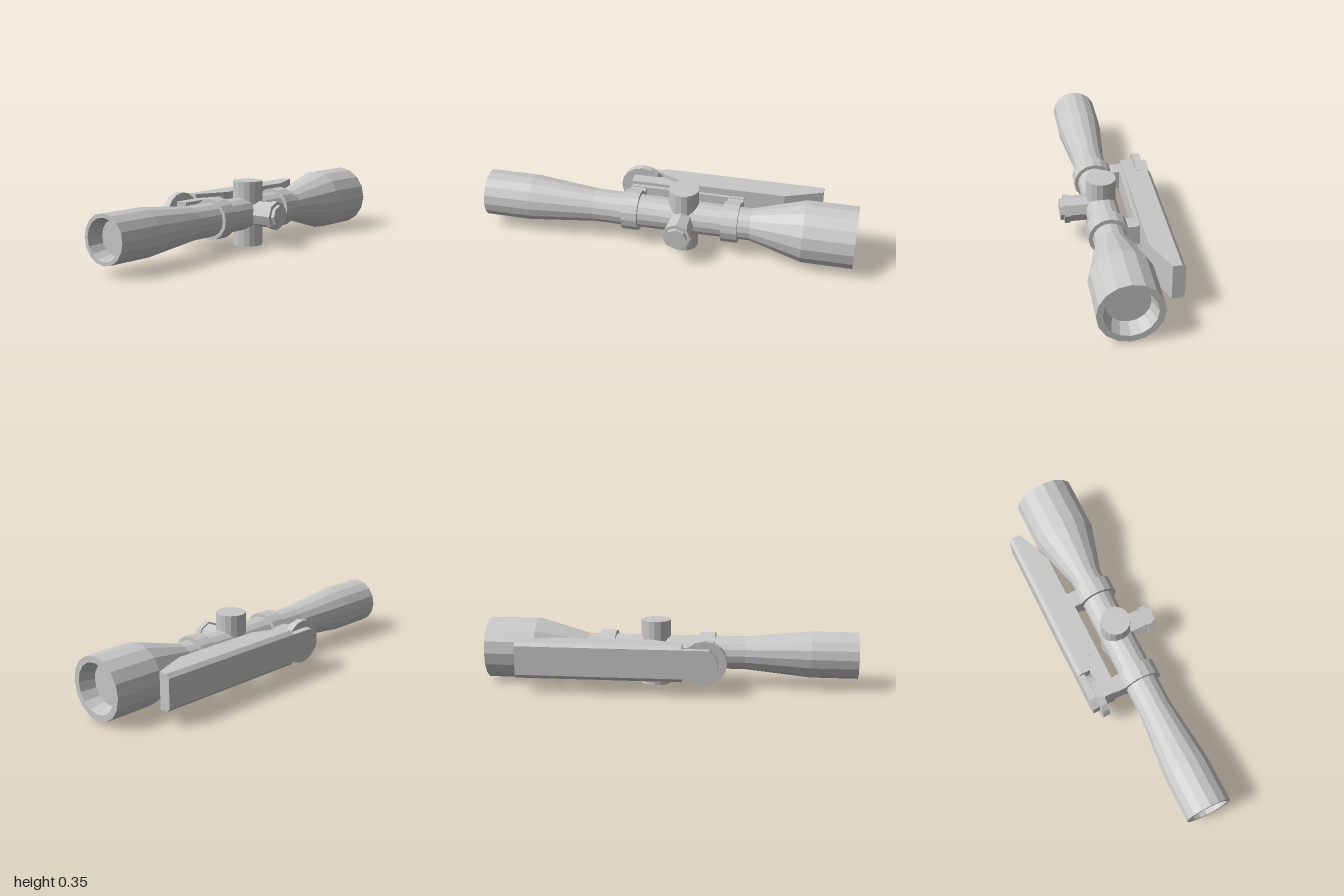
import * as THREE from 'three';
import { ConvexGeometry } from 'three/addons/geometries/ConvexGeometry.js';

const AXIS_Y = 0.175, AXIS_Z = 0.04;

export function createModel() {
  const model = new THREE.Group();
  const metal = new THREE.MeshStandardMaterial({ color: 0xc8c8c8, flatShading: true });
  metal.name = 'light grey metal';

  function add(name, geometry, x = 0, y = 0, z = 0) {
    const mesh = new THREE.Mesh(geometry, metal);
    mesh.name = name;
    mesh.position.set(x, y, z);
    model.add(mesh);
    return mesh;
  }

  // Box given by its limits along x and z, and its half height about the tube axis
  function box(name, x0, x1, half, z0, z1) {
    return add(name, new THREE.BoxGeometry(x1 - x0, half * 2, z1 - z0),
      (x0 + x1) / 2, AXIS_Y, (z0 + z1) / 2);
  }

  // Disc with its axis along z; turn shifts the corners around the axis
  function zDisc(name, x, radius, z0, z1, sides, turn = 0) {
    const g = new THREE.CylinderGeometry(radius, radius, z1 - z0, sides);
    g.rotateY(turn).rotateX(Math.PI / 2);
    return add(name, g, x, AXIS_Y, (z0 + z1) / 2);
  }

  // Main tube: recessed eyepiece, slim middle, wide recessed objective
  const profile = [
    [0, -0.92], [0.09, -0.92], [0.105, -1], [0.125, -1], [0.125, -0.75],
    [0.09, -0.4], [0.087, 0.45], [0.166, 0.73], [0.166, 1],
    [0.133, 1], [0.11, 0.92], [0, 0.92],
  ].map(([r, x]) => new THREE.Vector2(r, x));
  add('scopeTube', new THREE.LatheGeometry(profile, 16).rotateZ(-Math.PI / 2), 0, AXIS_Y, AXIS_Z);

  // Turret through the tube, above and below
  add('verticalTurret', new THREE.CylinderGeometry(0.08, 0.08, 0.35, 16), 0.085, AXIS_Y, AXIS_Z);

  // Stepped side knob
  zDisc('sideKnobNeck', 0.085, 0.069, 0.06, 0.21, 8);
  zDisc('sideKnobFlange', 0.085, 0.077, 0.21, 0.24, 8);
  zDisc('sideKnobCap', 0.085, 0.058, 0.24, 0.26, 8);

  // Clamp rings with arms reaching back to the rail
  for (const x of [-0.195, 0.342]) {
    const ring = new THREE.CylinderGeometry(0.109, 0.109, 0.085, 16).rotateZ(Math.PI / 2);
    add('clampRing', ring, x, AXIS_Y, AXIS_Z);
    box('clampArm', x - 0.0425, x + 0.0425, 0.052, -0.12, -0.02);
  }
  box('rail', -0.235, 0.385, 0.057, -0.122, -0.1);

  // Mount body with a sloped end and chamfered outer edges
  const corners = [];
  for (const s of [-1, 1]) {
    for (const [x, half, z] of [
      [0.09, 0.097, -0.116], [0.6, 0.097, -0.116], [0.8, 0.097, -0.195],
      [0.8, 0.097, -0.241], [0.8, 0.077, -0.26],
      [-0.08, 0.097, -0.19], [-0.08, 0.097, -0.241], [-0.08, 0.077, -0.26],
    ]) corners.push(new THREE.Vector3(x, AXIS_Y + s * half, z));
  }
  add('mountBody', new ConvexGeometry(corners));
  box('mountBlock', -0.24, 0.09, 0.075, -0.19, -0.12);

  // Locking dial and the rounded end of the mount
  zDisc('lockingDial', -0.195, 0.119, -0.223, -0.185, 16);
  zDisc('mountEndCap', -0.19, 0.083, -0.26, -0.22, 8, Math.PI / 8);
  box('mountEndBridge', -0.19, -0.07, 0.0767, -0.26, -0.222);

  return model;
}
